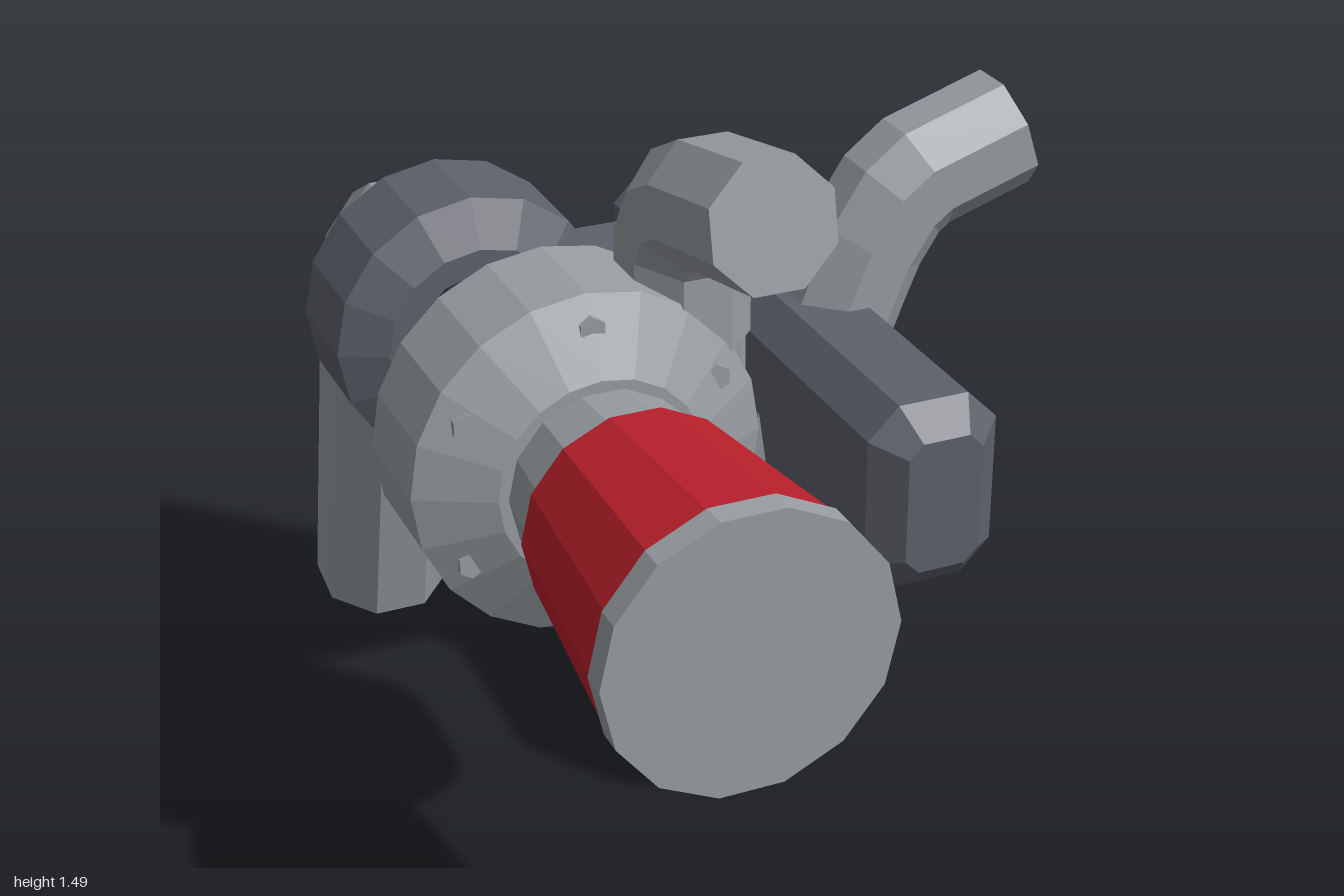
import * as THREE from 'three';

const AXIS_X = -0.345, AXIS_Y = 0.905;

function material(name, color) {
  const m = new THREE.MeshStandardMaterial({ color, flatShading: true });
  m.name = name;
  return m;
}

// Octagonal pipe with mitred joints; `side` is the axis perpendicular to the bend plane
function pipeGeometry(points, side, apothem) {
  const radius = apothem / Math.cos(Math.PI / 8);
  const path = points.map(p => new THREE.Vector3(...p));
  const b = new THREE.Vector3(...side);
  const rings = path.map((p, i) => {
    const before = path[Math.max(i - 1, 0)], after = path[Math.min(i + 1, path.length - 1)];
    const t1 = p.clone().sub(before).normalize(), t2 = after.clone().sub(p).normalize();
    const t = t1.clone().add(t2).normalize();
    const stretch = 1 / t.dot(i === 0 ? t2 : t1);
    const n = b.clone().cross(t);
    return Array.from({ length: 8 }, (_, k) => {
      const a = (k + 0.5) * Math.PI / 4;
      return p.clone().addScaledVector(n, radius * Math.cos(a) * stretch)
        .addScaledVector(b, radius * Math.sin(a));
    });
  });
  const pos = [];
  const tri = (...vs) => vs.forEach(v => pos.push(v.x, v.y, v.z));
  const last = rings.length - 1;
  for (let k = 0; k < 8; k++) {
    const j = (k + 1) % 8;
    for (let i = 0; i < last; i++) {
      tri(rings[i][k], rings[i][j], rings[i + 1][j]);
      tri(rings[i][k], rings[i + 1][j], rings[i + 1][k]);
    }
    tri(path[0], rings[0][j], rings[0][k]);
    tri(path[last], rings[last][k], rings[last][j]);
  }
  const g = new THREE.BufferGeometry();
  g.setAttribute('position', new THREE.Float32BufferAttribute(pos, 3));
  g.computeVertexNormals();
  return g;
}

// Block with cut corners and bevelled ends, given by its bounds
function blockGeometry([x0, x1], [y0, y1], [z0, z1], bevel) {
  const w = (x1 - x0) / 2 - bevel, h = (y1 - y0) / 2 - bevel, c = bevel * 0.5;
  const outline = [
    [w, -h + c], [w, h - c], [w - c, h], [-w + c, h],
    [-w, h - c], [-w, -h + c], [-w + c, -h], [w - c, -h],
  ].map(p => new THREE.Vector2(...p));
  const g = new THREE.ExtrudeGeometry(new THREE.Shape(outline), {
    depth: z1 - z0 - 2 * bevel, bevelEnabled: true, bevelSegments: 1,
    bevelSize: bevel, bevelThickness: bevel,
  });
  return g.translate((x0 + x1) / 2, (y0 + y1) / 2, z0 + bevel);
}

// Round part on the main axis from [radius, z] pairs, back to front
function turnedGeometry(profile, sides, phase = 0) {
  const pts = profile.map(p => new THREE.Vector2(...p));
  return new THREE.LatheGeometry(pts, sides, phase, Math.PI * 2)
    .rotateX(Math.PI / 2).translate(AXIS_X, AXIS_Y, 0);
}

export function createModel() {
  const model = new THREE.Group();
  model.name = 'turbocharger';
  const light = material('light metal', 0x999ea3);
  const dark = material('dark cast metal', 0x5e616b);
  const black = material('dark shaft metal', 0x2c353d);
  const red = material('red filter', 0xbc202c);
  const add = (name, geometry, mat, parent = model) => {
    const mesh = new THREE.Mesh(geometry, mat);
    mesh.name = name;
    parent.add(mesh);
    return mesh;
  };

  // Air filter and its neck
  const half = Math.PI / 14;
  add('filterCap', turnedGeometry([[0, 0.955], [0.239, 0.955], [0.239, 1], [0, 1]], 14, half), light);
  add('filter', turnedGeometry([[0, 0.565], [0.193, 0.565], [0.234, 0.955]], 14, half), red);
  add('filterNeck', turnedGeometry([[0.16, 0.4], [0.178, 0.565]], 14, half), light);

  // Compressor, shaft and turbine
  add('compressorHousing', turnedGeometry(
    [[0, 0.1], [0.2, 0.1], [0.305, 0.167], [0.305, 0.365], [0.18, 0.43], [0, 0.43]], 20), light);
  add('shaft', turnedGeometry([[0.132, -0.16], [0.132, 0.12]], 12), black);
  add('turbineHousing', turnedGeometry(
    [[0, -0.48], [0.15, -0.48], [0.258, -0.375], [0.258, -0.18], [0.175, -0.138], [0, -0.138]], 16), dark);

  // Ring of bolts sunk into the compressor's front bevel
  const bolts = new THREE.Group();
  bolts.name = 'compressorBolts';
  bolts.position.set(AXIS_X, AXIS_Y, 0.37);
  model.add(bolts);
  for (let i = 0; i < 6; i++) {
    const a = Math.PI / 6 + i * Math.PI / 3;
    const bolt = add('bolt', new THREE.CylinderGeometry(0.024, 0.024, 0.05, 6).rotateX(Math.PI / 2), light, bolts);
    bolt.position.set(0.25 * Math.cos(a), 0.25 * Math.sin(a), 0);
  }

  // Exhaust bending down at the back
  add('exhaustPipe', pipeGeometry([
    [AXIS_X, 0.905, -0.42], [AXIS_X, 0.905, -0.585], [AXIS_X, 0.875, -0.64],
    [AXIS_X, 0.82, -0.675], [AXIS_X, 0.033, -0.875],
  ], [1, 0, 0], 0.128), light);

  // Compressor outlet rising and bending forward
  add('outletPipe', pipeGeometry([
    [-0.135, 1.06, 0.265], [-0.135, 1.23, 0.265], [-0.135, 1.3, 0.31],
    [-0.135, 1.336, 0.38], [-0.135, 1.385, 0.61],
  ], [1, 0, 0], 0.104), light);

  // Crossing pipe through the cooler
  add('coolerPipe', pipeGeometry([
    [0.098, 0.428, 0], [0.308, 0.96, 0], [0.34, 1.035, 0],
    [0.392, 1.115, 0], [0.44, 1.152, 0], [0.618, 1.21, 0],
  ], [0, 0, 1], 0.103), light);

  // Cooler, actuator and mounting bracket
  add('cooler', blockGeometry([0.113, 0.356], [0.6, 0.95], [-0.7, 0.517], 0.052), dark);
  add('actuator', blockGeometry([-0.24, 0.047], [0.735, 1.015], [-0.333, -0.075], 0.034), dark);
  add('bracket', blockGeometry([0.043, 0.122], [0.69, 1.036], [-0.265, -0.008], 0.02), light);
  return model;
}
